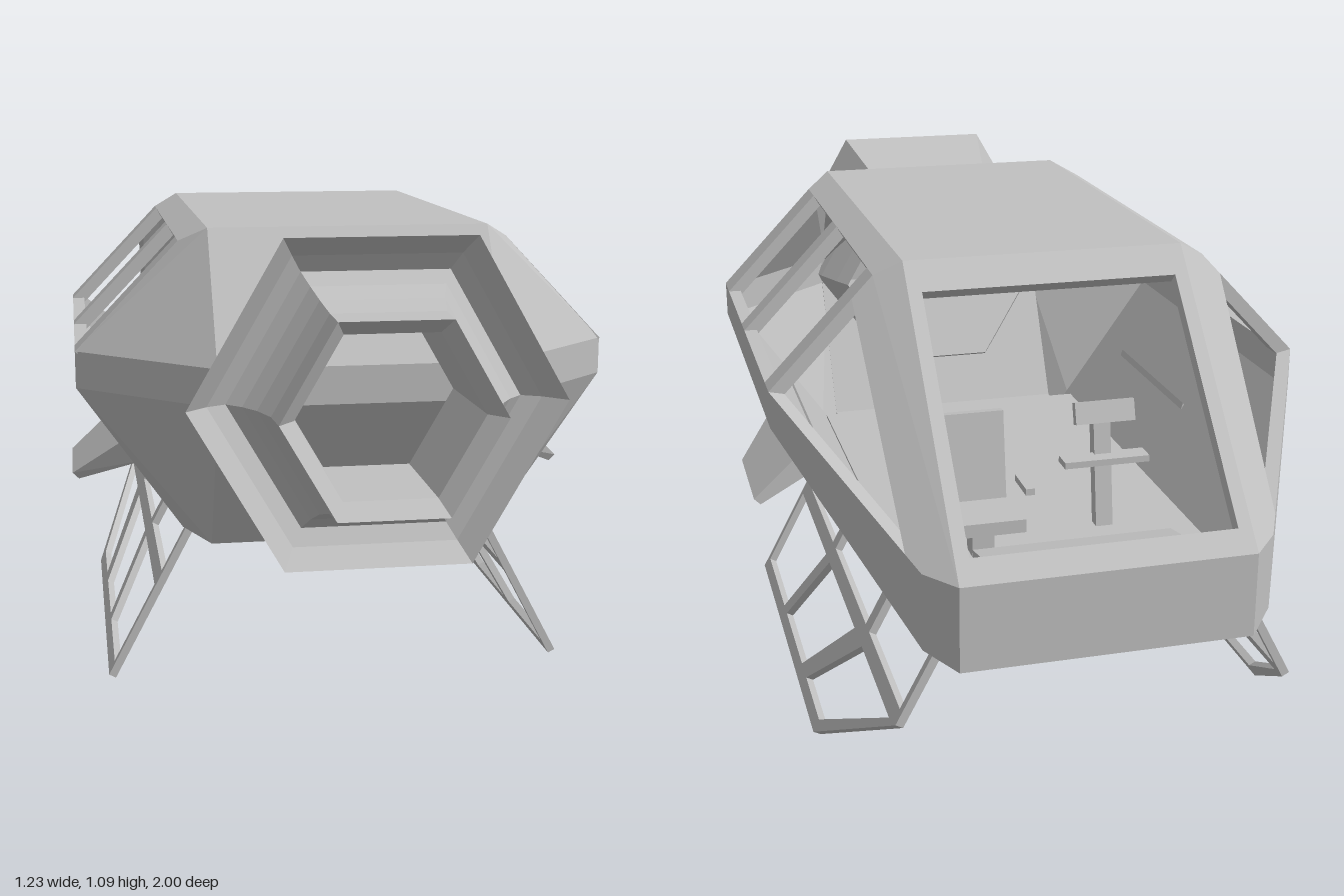
import * as THREE from 'three';
import { ConvexGeometry } from 'three/addons/geometries/ConvexGeometry.js';

const V = (x, y, z) => new THREE.Vector3(x, y, z);
const mirror = (p) => V(-p.x, p.y, p.z);
const mix = (a, b, t) => a.clone().lerp(b, t);

export function createModel() {
  const grey = new THREE.MeshStandardMaterial({ color: 0xc0c0c0, flatShading: true, side: THREE.DoubleSide });
  grey.name = 'hullGrey';
  const model = new THREE.Group();
  model.name = 'shuttle';

  const add = (name, geometry, parent = model) => {
    const mesh = new THREE.Mesh(geometry, grey);
    mesh.name = name;
    parent.add(mesh);
    return mesh;
  };

  // A hull plate: planar outline thickened towards the cabin
  const cabin = V(0, 0.7, -0.1);
  const plate = (name, pts, t = 0.03) => {
    const n = pts[1].clone().sub(pts[0]).cross(pts[2].clone().sub(pts[0])).normalize();
    if (n.dot(cabin.clone().sub(pts[0])) < 0) n.negate();
    add(name, new ConvexGeometry([...pts, ...pts.map((p) => p.clone().addScaledVector(n, t))]));
  };
  const pair = (name, pts, t) => {
    plate(name + 'Left', pts, t);
    plate(name + 'Right', pts.map(mirror), t);
  };
  const across = (name, a, b, t) => plate(name, [a, b, mirror(b), mirror(a)], t);

  // Hull corners on the left side: r = engine end, f = front of cabin, n = nose
  const roofR = V(0.31, 1.073, 0.48), roofF = V(0.31, 1.073, -0.507);
  const eaveR = V(0.37, 1.04, 0.42), eaveF = V(0.37, 1.04, -0.485);
  const sillR = V(0.6, 0.8, 0.415), sillF = V(0.6, 0.8, -0.485);
  const beltR = V(0.6, 0.718, 0.415), beltF = V(0.6, 0.718, -0.485);
  const chineR = V(0.37, 0.39, 0.42), chineN = V(0.37, 0.39, -0.936);
  const keelR = V(0.31, 0.365, 0.48), keelN = V(0.31, 0.365, -1);
  const tailTop = V(0.31, 0.8, 0.675), tailLow = V(0.31, 0.718, 0.675);
  const noseTop = V(0.31, 0.55, -1);
  const noseSill = V(0.37, 0.557, -0.936), noseBelt = V(0.37, 0.46, -0.936);

  // Roof and underside
  across('roof', roofR, roofF);
  across('underside', keelR, keelN);
  pair('roofBevel', [roofR, roofF, eaveF, eaveR], 0.02);
  pair('keelBevel', [keelR, keelN, chineN, chineR], 0.02);

  // Side walls
  pair('sideBand', [sillR, sillF, beltF, beltR]);
  pair('sideLower', [beltR, beltF, chineN, chineR]);
  pair('bowBand', [sillF, noseSill, noseBelt, beltF]);
  pair('bowLower', [beltF, noseBelt, chineN], 0.02);

  // Tail faces around the engine
  across('tailUpper', roofR, tailTop);
  across('tailMiddle', tailTop, tailLow);
  across('tailLower', tailLow, keelR);
  pair('tailSideUpper', [roofR, eaveR, sillR, tailTop], 0.02);
  pair('tailSideBand', [sillR, beltR, tailLow, tailTop], 0.02);
  pair('tailSideLower', [beltR, chineR, keelR, tailLow], 0.02);

  // Nose and its bevelled corners
  across('nose', noseTop, keelN);
  pair('noseCorner', [noseTop, keelN, chineN, noseSill], 0.02);

  // Pillars between the open side windows
  for (const [z0, z1] of [[0.42, 0.335], [0.035, -0.025], [-0.42, -0.485]]) {
    pair('sidePillar', [V(0.37, 1.04, z0), V(0.37, 1.04, z1), V(0.6, 0.8, z1), V(0.6, 0.8, z0)]);
  }
  pair('bowPillarFace', [eaveF, noseSill, mix(noseSill, sillF, 0.1), mix(eaveF, sillF, 0.2)], 0.02);
  pair('bowPillarBevel', [roofF, noseTop, noseSill, eaveF], 0.02);

  // Windshield frame
  const slope = (x, t) => V(x, 1.073 - 0.523 * t, -0.507 - 0.493 * t);
  across('windshieldTop', slope(0.31, 0), slope(0.31, 0.107));
  across('windshieldSill', slope(0.31, 0.92), slope(0.31, 1));
  pair('windshieldSide', [slope(0.31, 0), slope(0.31, 1), slope(0.28, 1), slope(0.28, 0)]);

  // Engine: a hexagonal bell folding back into a hollow inner nozzle
  const profile = [
    [0.26, 0.5], [0.285, 0.55], [0.315, 0.62], [0.35, 0.73], [0.39, 0.853],
    [0.345, 0.81], [0.305, 0.79], [0.275, 0.82], [0.25, 0.86], [0.23, 0.92], [0.225, 1],
    [0.19, 0.96], [0.185, 0.7],
  ].map(([r, z]) => new THREE.Vector2(r, z));
  const engine = add('engineBell', new THREE.LatheGeometry(profile, 6, Math.PI / 6).rotateX(Math.PI / 2));
  engine.position.y = 0.75;

  // Stub fins
  const fin = [];
  for (const [x, y, zBack] of [[0.46, 0.58, 0.26], [0.44, 0.51, 0.26], [0.615, 0.435, 0.065], [0.6, 0.42, 0.065]]) {
    fin.push(V(x, y, zBack), V(x, y, -0.195));
  }
  add('finLeft', new ConvexGeometry(fin));
  add('finRight', new ConvexGeometry(fin.map(mirror)));

  // Landing skids: splayed flat trusses, drawn as (z, height)
  const outline = (pts) => pts.map(([a, b]) => new THREE.Vector2(a, b));
  const truss = new THREE.Shape(outline([[0.335, 0], [0.335, 0.38], [-0.936, 0.38], [-0.936, 0.22], [-0.56, 0]]));
  const openings = [
    [[0.315, 0.245], [0.315, 0.362], [-0.09, 0.362], [-0.09, 0.245]],
    [[-0.13, 0.245], [-0.13, 0.362], [-0.54, 0.362], [-0.54, 0.245]],
    [[-0.58, 0.245], [-0.58, 0.362], [-0.917, 0.362], [-0.917, 0.245]],
    [[0.315, 0.027], [0.315, 0.212], [-0.085, 0.212], [0.025, 0.027]],
    [[-0.02, 0.027], [-0.135, 0.212], [-0.49, 0.212], [-0.29, 0.027]],
    [[-0.36, 0.027], [-0.58, 0.212], [-0.89, 0.212], [-0.555, 0.027]],
  ];
  truss.holes = openings.map((o) => new THREE.Path(outline(o)));
  const skid = new THREE.ExtrudeGeometry(truss, { depth: 0.018, bevelEnabled: false });
  skid.applyMatrix4(new THREE.Matrix4()
    .makeBasis(V(0, 0, 1), V(-0.53, 1, 0), V(-0.88, -0.47, 0))
    .setPosition(0.545, 0.009, 0));
  add('skidLeft', skid);
  add('skidRight', skid).scale.x = -1;

  // Cabin interior
  const cockpit = new THREE.Group();
  cockpit.name = 'cockpit';
  model.add(cockpit);
  const box = (name, w, h, d, x, y, z, rx = 0) => {
    const m = add(name, new THREE.BoxGeometry(w, h, d), cockpit);
    m.position.set(x, y, z);
    m.rotation.x = rx;
  };
  box('floor', 0.7, 0.02, 1.3, 0, 0.41, -0.27);
  box('dashboard', 0.56, 0.03, 0.09, 0, 0.53, -0.92);
  box('console', 0.44, 0.06, 0.14, 0, 0.49, -0.82, 0.2);
  box('seat', 0.16, 0.03, 0.15, 0.16, 0.51, -0.59);
  box('seatBack', 0.14, 0.2, 0.025, 0.16, 0.62, -0.51, 0.15);
  box('seatPost', 0.05, 0.09, 0.05, 0.16, 0.46, -0.58);
  for (const s of [-1, 1]) box('armrest', 0.02, 0.015, 0.09, 0.16 + s * 0.1, 0.57, -0.58);
  box('controlPost', 0.04, 0.28, 0.03, -0.15, 0.55, -0.48, 0.15);
  box('controlScreen', 0.14, 0.05, 0.02, -0.15, 0.69, -0.49, 0.3);
  box('controlHandles', 0.2, 0.015, 0.05, -0.15, 0.58, -0.5);

  return model;
}
